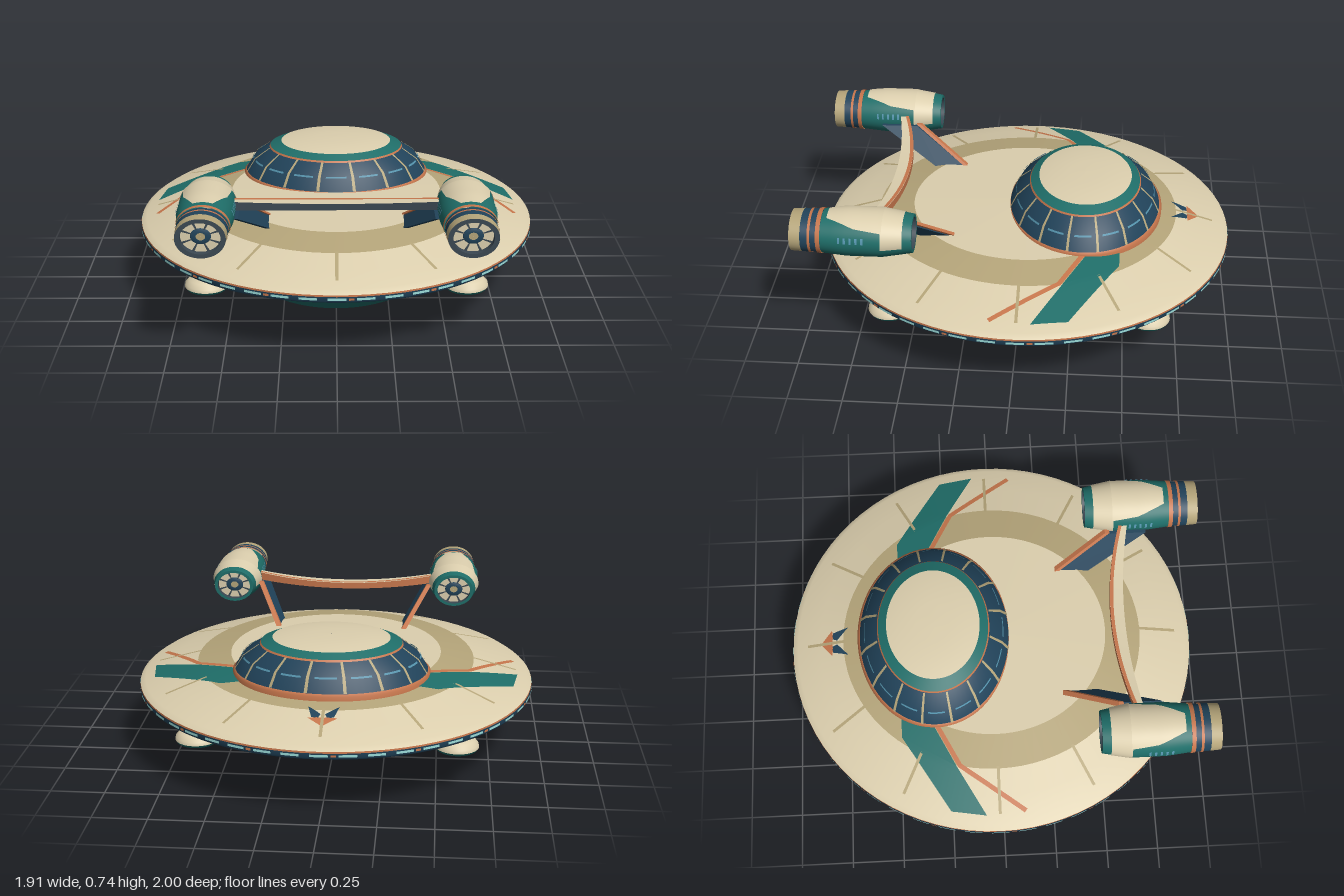
import * as THREE from 'three';
import { mergeVertices } from 'three/addons/utils/BufferGeometryUtils.js';

const paint = (name, color) => {
  const m = new THREE.MeshStandardMaterial({ color, side: THREE.DoubleSide });
  m.name = name;
  return m;
};
const cream = paint('cream', 0xdccfae), khaki = paint('khaki', 0xb5a57a), teal = paint('teal', 0x1f6e69),
  navy = paint('navy', 0x21435a), orange = paint('orange', 0xc6764c), slate = paint('slate', 0x3b4852),
  blue = paint('light blue', 0x5594ad), ice = paint('ice', 0x9adbd8);

const TAU = Math.PI * 2;
const lerp = THREE.MathUtils.lerp;

// Surface through fn(u, v) -> [x, y, z]
function grid(parent, name, mat, nu, nv, fn) {
  const pos = [], idx = [];
  for (let j = 0; j <= nv; j++) for (let i = 0; i <= nu; i++) pos.push(...fn(i / nu, j / nv));
  for (let j = 0; j < nv; j++) for (let i = 0; i < nu; i++) {
    const a = j * (nu + 1) + i, b = a + 1, c = a + nu + 1, d = c + 1;
    idx.push(a, b, d, a, d, c);
  }
  let g = new THREE.BufferGeometry();
  g.setAttribute('position', new THREE.Float32BufferAttribute(pos, 3));
  g.setIndex(idx);
  g = mergeVertices(g, 1e-5);
  g.computeVertexNormals();
  const mesh = new THREE.Mesh(g, mat);
  mesh.name = name;
  parent.add(mesh);
  return mesh;
}

// Stacked ellipses [rx, y, rz, cz, cx], bottom to top, over an angle range
function loft(parent, name, mat, levels, a0 = 0, a1 = TAU) {
  const n = Math.max(2, Math.ceil((a1 - a0) / TAU * 80));
  return grid(parent, name, mat, n, levels.length - 1, (u, v) => {
    const [rx, y, rz = rx, cz = 0, cx = 0] = levels[Math.round(v * (levels.length - 1))];
    const t = lerp(a0, a1, u);
    return [cx + rx * Math.sin(t), y, cz + rz * Math.cos(t)];
  });
}
const mix = (a, b, t) => a.map((v, i) => lerp(v, b[i], t));

// Upper hull levels and the height of the hull above a point
const TOP = [[0.95, 0.345, 0.975, -0.023], [0.925, 0.362, 0.95, -0.023], [0.67, 0.432, 0.722, -0.022],
  [0.51, 0.462, 0.55, -0.02], [0.002, 0.475, 0.002, -0.02]];
function hullY(x, z) {
  let lo = 0, hi = 4, l = TOP[0];
  for (let k = 0; k < 24; k++) {
    const s = (lo + hi) / 2, i = Math.min(3, Math.floor(s));
    l = mix(TOP[i], TOP[i + 1], s - i);
    if ((x / l[0]) ** 2 + ((z - l[3]) / l[2]) ** 2 < 1) lo = s; else hi = s;
  }
  return l[1];
}
// Four-cornered painted panel lying on the upper hull
function decal(parent, name, mat, a, b, c, d, n = 10) {
  grid(parent, name, mat, n, n, (u, v) => {
    const [x, z] = mix(mix(a, b, u), mix(d, c, u), v);
    return [x, hullY(x, z) + 0.004, z];
  });
}
function line(parent, name, mat, a, b, w) {
  const dx = b[0] - a[0], dz = b[1] - a[1], l = Math.hypot(dx, dz) / w * 2, ox = -dz / l, oz = dx / l;
  decal(parent, name, mat, [a[0] + ox, a[1] + oz], [b[0] + ox, b[1] + oz], [b[0] - ox, b[1] - oz], [a[0] - ox, a[1] - oz]);
}

function buildHull(g) {
  // Underside, with the lowest plate set off centre
  const port = [0.24, 0.008, 0.235, 0.11, 0.08], flat = [0.15, 0, 0.145, 0.11, 0.08];
  const k0 = [0.41, 0.048, 0.43, 0.035, 0], k1 = [0.49, 0.12, 0.54, 0.018, 0], k2 = [0.69, 0.2, 0.7, -0.01, 0],
    k3 = [0.81, 0.25, 0.83, -0.02, 0], k4 = [0.94, 0.305, 0.965, -0.023, 0];
  loft(g, 'bottomLight', cream, [[0.001, 0, 0.001, 0.11, 0.08], flat]);
  loft(g, 'bottomPortRing', navy, [flat, port]);
  for (let i = 0; i < 8; i++) {
    const t = i * TAU / 8;
    loft(g, 'portMark', cream, [mix(flat, port, 0.15), mix(flat, port, 0.55)].map(l => [l[0], l[1] - 0.002, ...l.slice(2)]), t - 0.13, t + 0.13);
  }
  loft(g, 'keelPlate', slate, [port, k0]);
  loft(g, 'keelBand', teal, [k0, k1]);
  loft(g, 'lowerHull', cream, [k1, k2]);
  for (let i = 0; i < 36; i++) loft(g, 'checkPanel', i % 2 ? khaki : teal, [k2, k3], (i - 0.5) * TAU / 36, (i + 0.5) * TAU / 36);
  loft(g, 'lowerRim', teal, [k3, k4]);
  // Rim with running lights
  const r0 = [0.95, 0.316, 0.975, -0.023, 0], r1 = [0.951, 0.337, 0.976, -0.023, 0];
  loft(g, 'rimBand', navy, [k4, r0, r1]);
  loft(g, 'rimTrim', orange, [r1, TOP[0]]);
  for (let i = 0; i < 48; i++) {
    const strip = [[0.954, 0.321, 0.979, -0.023], [0.954, 0.332, 0.979, -0.023]], t = i * TAU / 48;
    loft(g, 'rimLight', ice, strip, t - 0.042, t + 0.042);
    if (i % 3 === 0) loft(g, 'rimMarker', orange, strip, t + 0.053, t + 0.078);
  }
  // Upper hull
  loft(g, 'upperHull', cream, [TOP[0], TOP[1], mix(TOP[1], TOP[2], 0.5), TOP[2]]);
  loft(g, 'upperRing', khaki, [TOP[2], TOP[3]]);
  loft(g, 'upperDeck', cream, [TOP[3], TOP[4]]);
  for (let i = 0; i < 12; i++) {
    const s = Math.sin(i * TAU / 12), c = Math.cos(i * TAU / 12);
    line(g, 'panelLine', khaki, [0.66 * s, 0.71 * c - 0.022], [0.875 * s, 0.9 * c - 0.022], 0.014);
  }
  for (const m of [-1, 1]) {
    const p = (x, z) => [x * m, z];
    decal(g, 'wingStripe', teal, p(0.38, -0.47), p(0.5, -0.47), p(0.65, -0.217), p(0.43, -0.33));
    decal(g, 'wingStripe', teal, p(0.5, -0.47), p(0.853, -0.25), p(0.88, -0.085), p(0.65, -0.217));
    line(g, 'wingLine', orange, p(0.44, -0.31), p(0.65, -0.2), 0.022);
    line(g, 'wingLine', orange, p(0.645, -0.205), p(0.865, 0.1), 0.022);
    // Bow marker
    decal(g, 'bowMarker', orange, p(0, -0.855), p(0.065, -0.8), p(0.03, -0.795), p(0, -0.8), 3);
    decal(g, 'bowMarker', navy, p(0.02, -0.8), p(0.05, -0.795), p(0.07, -0.72), p(0.01, -0.775), 3);
  }
}

function buildDome(g) {
  const d = (rx, y, rz, cz = -0.3) => [rx, y, rz, cz];
  const w0 = d(0.452, 0.474, 0.36), w1 = d(0.335, 0.592, 0.268), wm = d(0.41, 0.54, 0.327);
  loft(g, 'domeBase', orange, [d(0.463, 0.43, 0.372), d(0.463, 0.465, 0.372), w0]);
  loft(g, 'domeWindows', navy, [w0, wm, w1]);
  loft(g, 'domeTrim', orange, [w1, d(0.33, 0.6, 0.262)]);
  loft(g, 'domeCollar', teal, [d(0.33, 0.6, 0.262), d(0.275, 0.622, 0.222)]);
  loft(g, 'domeCap', cream, [d(0.275, 0.622, 0.222), d(0.2, 0.633, 0.162), d(0.1, 0.637, 0.08), d(0.001, 0.638, 0.001)]);
  const lift = l => [l[0] + 0.004, l[1] + 0.003, l[2] + 0.004, l[3]];
  for (let i = 0; i < 16; i++) {
    const t = (i + 0.5) * TAU / 16, c = i * TAU / 16;
    loft(g, 'domeRib', khaki, [w0, wm, w1].map(lift), t - 0.017, t + 0.017);
    loft(g, 'windowLine', blue, [mix(w0, wm, 0.88), wm].map(lift), c - 0.12, c + 0.12);
  }
}

function buildPod(g, x, z) {
  const pod = new THREE.Group();
  pod.name = 'landingPod';
  pod.position.set(x, 0.195, z);
  loft(pod, 'podLens', ice, [[0.001, 0], [0.035, 0.001]]);
  loft(pod, 'podLensRing', teal, [[0.035, 0.001], [0.06, 0.004]]);
  loft(pod, 'podTrim', orange, [[0.06, 0.004], [0.068, 0.007]]);
  loft(pod, 'podBelt', teal, [[0.068, 0.007], [0.092, 0.018], [0.1, 0.03]]);
  loft(pod, 'podShell', cream, [[0.1, 0.03], [0.097, 0.045], [0.08, 0.064], [0.05, 0.076], [0.001, 0.082]]);
  g.add(pod);
}

// Engine radius at stations along its length
const ENGINE = [[0.455, 0.1], [0.495, 0.108], [0.59, 0.126], [0.75, 0.126], [0.86, 0.114], [0.88, 0.112], [0.95, 0.111], [1, 0.108]];
function engineR(y) {
  const i = Math.max(1, ENGINE.findIndex(p => p[0] >= y)), a = ENGINE[i - 1], b = ENGINE[i];
  return lerp(a[1], b[1], (y - a[0]) / (b[0] - a[0]));
}
function buildEngine(g, side) {
  const e = new THREE.Group();
  e.name = 'engine';
  e.position.set(side * 0.57, 0.628, 0);
  e.rotation.x = Math.PI / 2; // local y runs to the front, local -z is up
  const L = (r, y) => [r, y, r * 0.82];
  const shell = (name, mat, ys, lift = 0, a0 = 0, a1 = TAU) => loft(e, name, mat, ys.map(y => L(engineR(y) + lift, y)), a0, a1);
  shell('intakeCollar', teal, [0.455, 0.495]);
  shell('engineBody', teal, [0.495, 0.54, 0.59, 0.67, 0.75, 0.81, 0.86]);
  shell('engineCowl', cream, [0.495, 0.54, 0.59], 0.003, Math.PI * 0.45, Math.PI * 1.55);
  shell('engineTrim', orange, [0.86, 0.88], 0.004);
  shell('nozzle', navy, [0.88, 0.95]);
  shell('nozzleTrim', orange, [0.905, 0.917], 0.003);
  shell('nozzleLip', khaki, [0.95, 1]);
  // Tapering saddle on the top of the engine
  grid(e, 'engineSaddle', cream, 14, 8, (u, v) => {
    const y = lerp(0.585, 0.835, v), half = v < 0.5 ? lerp(0.98, 0.82, v * 2) : lerp(0.82, 0.36, v * 2 - 1);
    const t = Math.PI + lerp(-half, half, u), r = engineR(y) + 0.005;
    return [r * Math.sin(t), y, r * 0.82 * Math.cos(t)];
  });
  for (const m of [-1, 1]) for (let i = 0; i < 5; i++) {
    const y = 0.665 + i * 0.026, t = m * Math.PI * 0.58;
    shell('engineVent', blue, [y, y + 0.01], 0.004, t - 0.13, t + 0.13);
  }
  // Recessed faces with spokes at both ends
  const face = (end, depth, rOut, rIn, ringMat) => {
    const y = end + depth, near = end + depth * 0.8;
    loft(e, 'endRing', ringMat, [L(rOut, end), L(rIn, end)]);
    loft(e, 'endWell', slate, [L(rIn, end), L(rIn, y)]);
    loft(e, 'endGlow', cream, [L(rIn, y), L(0.001, y)]);
    loft(e, 'endHub', navy, [L(0.044, y), L(0.04, near), L(0.02, near)]);
    loft(e, 'hubCap', khaki, [L(0.02, near), L(0.001, near)]);
    for (let i = 0; i < 8; i++) {
      const t = (i + 0.5) * TAU / 8;
      loft(e, 'endSpoke', slate, [L(0.04, near), L(rIn, near)], t - 0.07, t + 0.07);
    }
  };
  face(1, -0.03, 0.108, 0.086, slate);
  face(0.455, 0.03, 0.1, 0.084, teal);
  g.add(e);
}

// Box whose two ends are placed rectangles: [x, y, zStart, zEnd]
function blade(g, name, mat, root, tip, thick) {
  const geo = new THREE.BoxGeometry(1, 1, 1), p = geo.attributes.position;
  for (let i = 0; i < p.count; i++) {
    const s = p.getY(i) > 0 ? tip : root;
    p.setXYZ(i, s[0] + p.getX(i) * thick, s[1], p.getZ(i) < 0 ? s[2] : s[3]);
  }
  geo.computeVertexNormals();
  const mesh = new THREE.Mesh(geo, mat);
  mesh.name = name;
  g.add(mesh);
}

function buildSupports(g) {
  for (const m of [-1, 1]) {
    blade(g, 'pylon', navy, [m * 0.31, 0.445, 0.3, 0.45], [m * 0.44, 0.615, 0.57, 0.75], 0.022);
    blade(g, 'pylonEdge', orange, [m * 0.308, 0.448, 0.28, 0.302], [m * 0.44, 0.625, 0.55, 0.572], 0.024);
  }
  // Curved cross beam: corners run round the section at each station along x
  const corner = (x, back, up) => {
    const q = (x / 0.47) ** 2;
    return [x, 0.6 + 0.02 * q + up * (0.03 + 0.01 * q), back ? 0.545 + 0.075 * q : 0.61 + 0.05 * q];
  };
  const side = (name, mat, a, b) => grid(g, name, mat, 20, 1, (u, v) => corner(lerp(-0.47, 0.47, u), ...(v ? b : a)));
  side('beamTop', cream, [0, 1], [1, 1]);
  side('beamLeadingEdge', orange, [1, 1], [1, 0]);
  side('beamUnderside', slate, [1, 0], [0, 0]);
  side('beamFront', slate, [0, 0], [0, 1]);
  grid(g, 'beamStripe', orange, 20, 1, (u, v) => {
    const c = corner(lerp(-0.47, 0.47, u), 1, 1);
    return [c[0], c[1] + 0.003, c[2] + 0.016 * (1 - v)];
  });
}

export function createModel() {
  const g = new THREE.Group();
  g.name = 'saucerShip';
  buildHull(g);
  buildDome(g);
  for (const x of [-0.59, 0.59]) for (const z of [-0.61, 0.58]) buildPod(g, x, z);
  for (const s of [-1, 1]) buildEngine(g, s);
  buildSupports(g);
  return g;
}
